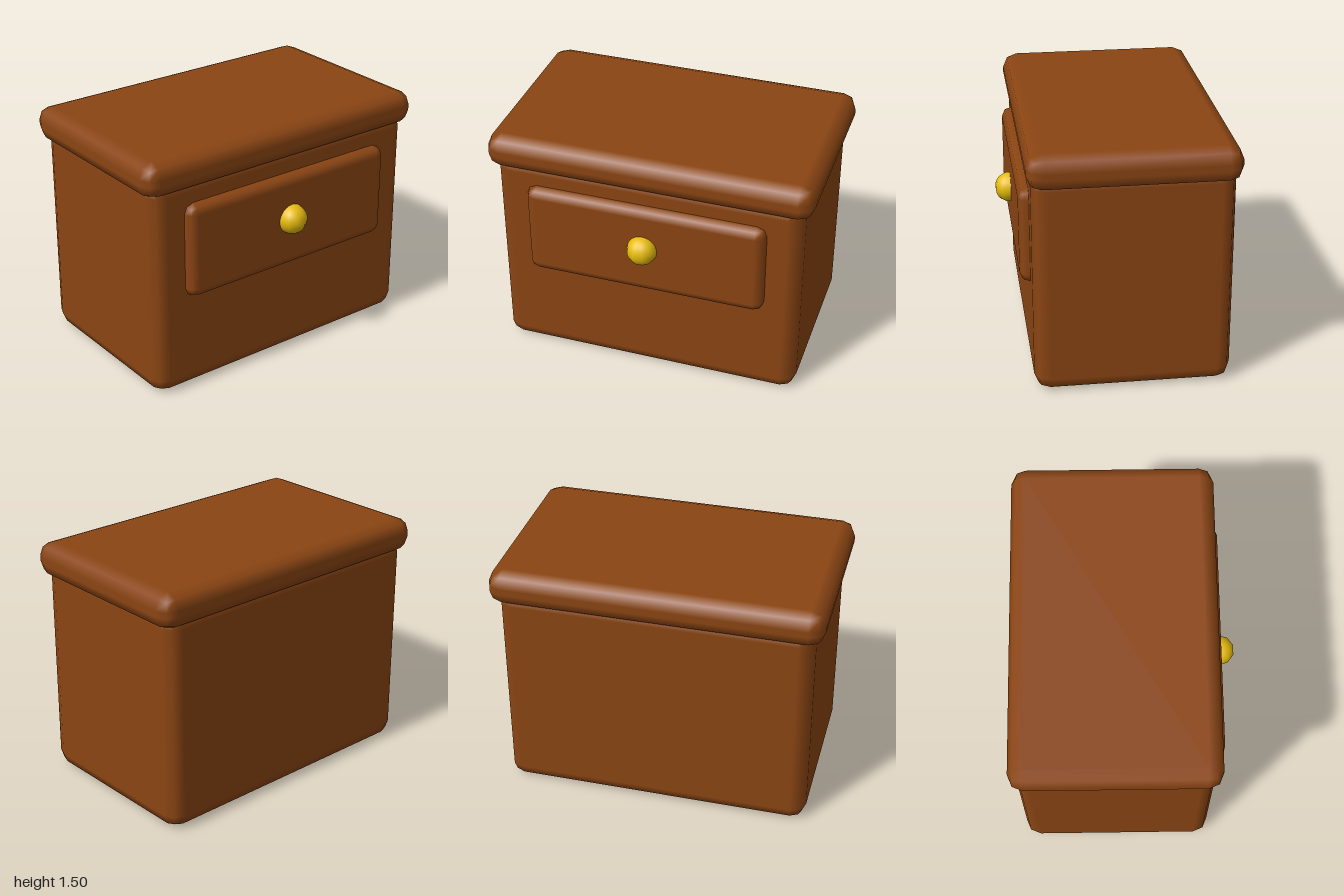
import * as THREE from 'three';
import { RoundedBoxGeometry } from 'three/addons/geometries/RoundedBoxGeometry.js';

export function createModel() {
  const wood = new THREE.MeshStandardMaterial({ color: 0x8b4513 });
  wood.name = 'brown wood';
  const brass = new THREE.MeshStandardMaterial({ color: 0xf1c40f });
  brass.name = 'yellow brass';

  const model = new THREE.Group();
  model.name = 'nightstand';

  // Softly bevelled box, centred on x, given by its y and z limits
  function roundedBlock(name, width, [y0, y1], [z0, z1], radius) {
    const geometry = new RoundedBoxGeometry(width, y1 - y0, z1 - z0, 1, radius);
    const mesh = new THREE.Mesh(geometry, wood);
    mesh.name = name;
    mesh.position.set(0, (y0 + y1) / 2, (z0 + z1) / 2);
    model.add(mesh);
  }

  // Cabinet, its top edge tucked into the overhanging top board
  roundedBlock('cabinetBody', 1.89, [0, 1.37], [-0.645, 0.525], 0.09);
  roundedBlock('topBoard', 2, [1.285, 1.5], [-0.675, 0.555], 0.09);
  roundedBlock('drawerFront', 1.48, [0.615, 1.207], [0.4, 0.585], 0.06);

  // Round pull, half sunk into the drawer front
  const knob = new THREE.Mesh(new THREE.SphereGeometry(0.092, 10, 24), brass);
  knob.name = 'drawerKnob';
  knob.position.set(0, 0.93, 0.587);
  model.add(knob);

  return model;
}
